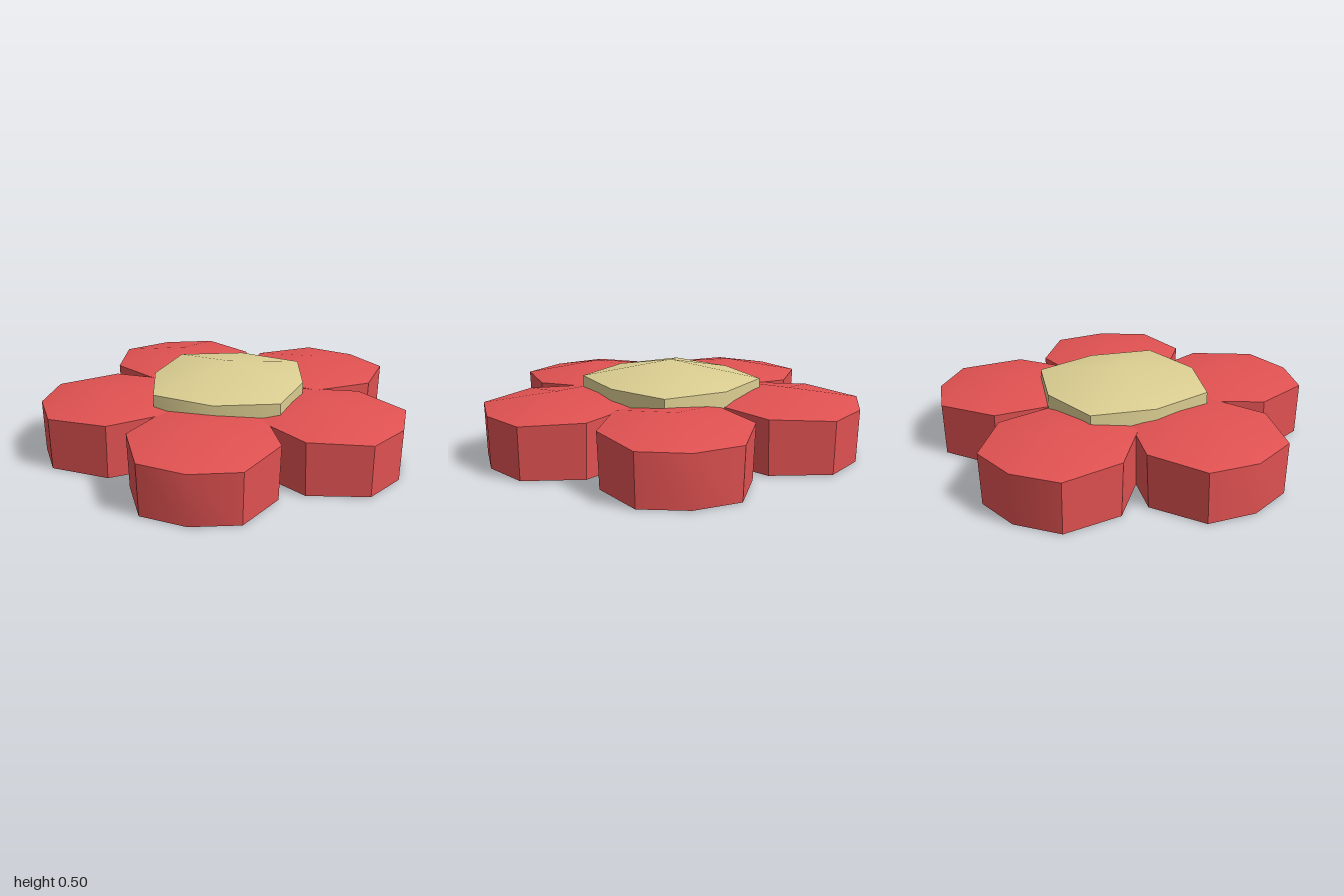
import * as THREE from 'three';
import { toCreasedNormals } from 'three/addons/utils/BufferGeometryUtils.js';

// Prism on an eight-sided outline with a shallow pointed top.
// outline: [x, z] corners going from +z towards +x; rimY(z) gives the rim height
function domedPrism(outline, { bottom, rimY, apex, taper }) {
  const pos = [];
  const tri = (a, b, c) => pos.push(...a, ...b, ...c);
  const n = outline.length;
  for (let i = 0; i < n; i++) {
    const [ax, az] = outline[i];
    const [bx, bz] = outline[(i + 1) % n];
    const topA = [ax, rimY(az), az];
    const topB = [bx, rimY(bz), bz];
    const lowA = [ax * taper, bottom, az * taper];
    const lowB = [bx * taper, bottom, bz * taper];
    tri([0, apex, 0], topA, topB);
    tri(topA, lowA, lowB);
    tri(topA, lowB, topB);
    tri([0, bottom, 0], lowB, lowA);
  }
  const geometry = new THREE.BufferGeometry();
  geometry.setAttribute('position', new THREE.Float32BufferAttribute(pos, 3));
  return toCreasedNormals(geometry, THREE.MathUtils.degToRad(35));
}

// Octagon from its half width, half depth and diagonal corner
const octagon = (w, d, cx, cz) => [
  [0, d], [cx, cz], [w, 0], [cx, -cz], [0, -d], [-cx, -cz], [-w, 0], [-cx, cz],
];

export function createModel() {
  const model = new THREE.Group();
  model.name = 'flower';

  const petalRed = new THREE.MeshStandardMaterial({ color: 0xe25252 });
  petalRed.name = 'petalRed';
  const centreYellow = new THREE.MeshStandardMaterial({ color: 0xdccf92 });
  centreYellow.name = 'centreYellow';

  // Petals: outer end slightly lower than the inner end
  const petalGeometry = domedPrism(octagon(0.405, 0.39, 0.27, 0.32), {
    bottom: 0.003, rimY: (z) => 0.306 - 0.042 * z, apex: 0.38, taper: 0.97,
  });
  // x, z and outward heading in degrees from +z
  const petals = [
    ['frontPetal', 0, 0.61, 0],
    ['leftPetal', 0.62, 0.16, 75.6],
    ['backLeftPetal', 0.42, -0.58, 149.5],
    ['backRightPetal', -0.37, -0.595, -151],
    ['rightPetal', -0.615, 0.14, -78.5],
  ];
  for (const [name, x, z, heading] of petals) {
    const petal = new THREE.Mesh(petalGeometry, petalRed);
    petal.name = name;
    petal.position.set(x, 0, z);
    petal.rotation.y = THREE.MathUtils.degToRad(heading);
    model.add(petal);
  }

  // Raised centre, reaching down to the underside
  const centre = new THREE.Mesh(
    domedPrism(octagon(0.42, 0.44, 0.345, 0.345), {
      bottom: 0, rimY: () => 0.4, apex: 0.5, taper: 1,
    }),
    centreYellow,
  );
  centre.name = 'flowerCentre';
  centre.position.set(0.005, 0, -0.06);
  model.add(centre);

  return model;
}
